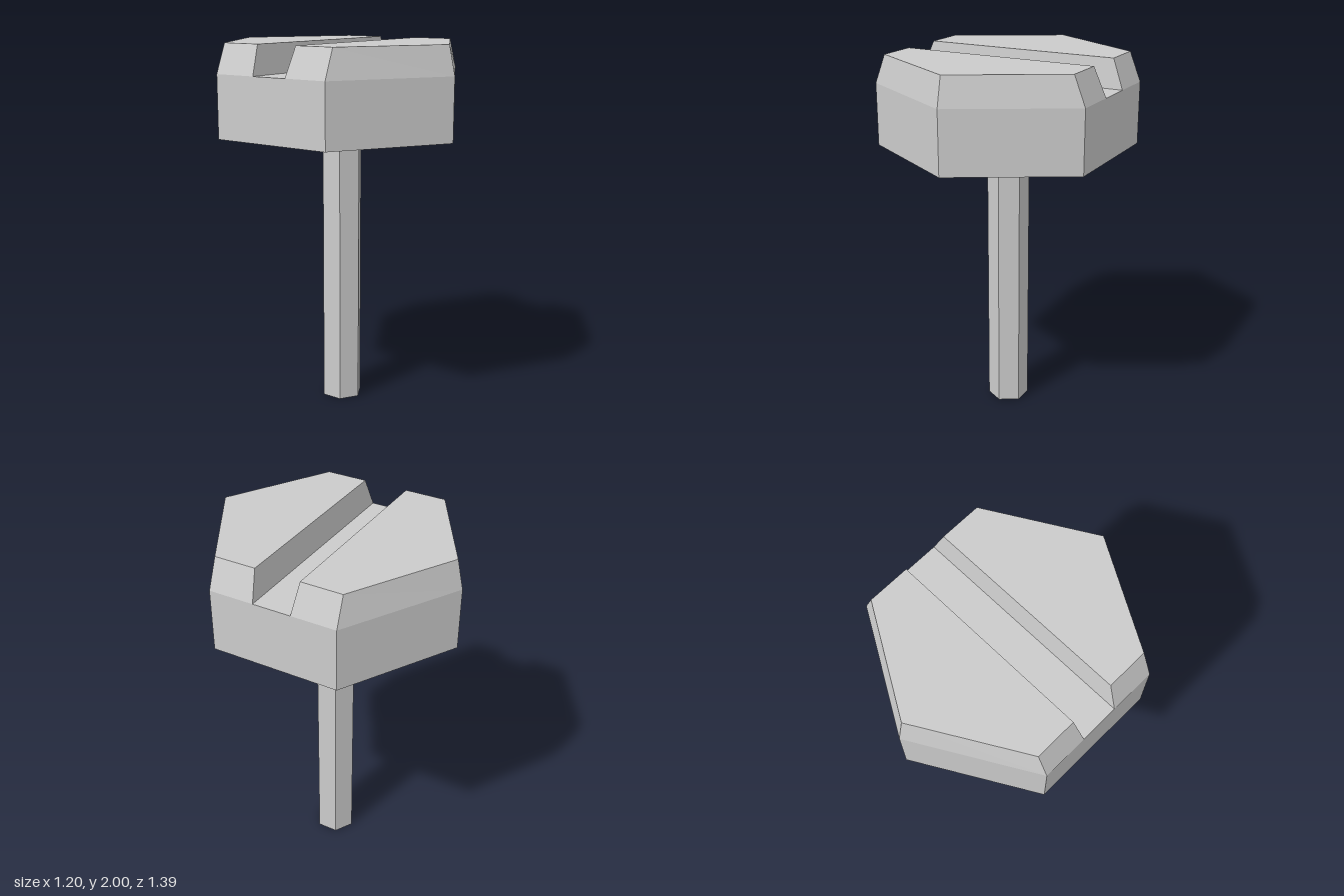
import * as THREE from 'three';

const HEAD_BASE = 1.51, SLOT_Y = 1.845, TOP_Y = 2;
const HEAD_R = 0.695, SHAFT_R = 0.113;

const material = new THREE.MeshStandardMaterial({
  color: 0xcccccc, flatShading: true, side: THREE.DoubleSide,
});

function part(name, geometry, y = 0) {
  const mesh = new THREE.Mesh(geometry, material);
  mesh.name = name;
  mesh.position.y = y;
  return mesh;
}

// Open six-sided tube with corners on the z axis
function hexTube(radius, y0, y1) {
  return new THREE.CylinderGeometry(radius, radius, y1 - y0, 6, 1, true)
    .translate(0, (y0 + y1) / 2, 0);
}

// Walls and top between two matching outlines of [x, z] corners
function taperedBlock(lower, upper, y0, y1) {
  const n = lower.length;
  const points = [
    ...lower.flatMap(([x, z]) => [x, y0, z]),
    ...upper.flatMap(([x, z]) => [x, y1, z]),
  ];
  const index = [];
  for (let i = 0; i < n; i++) {
    const j = (i + 1) % n;
    index.push(i, n + j, j, i, n + i, n + j);
    if (i > 0 && i < n - 1) index.push(n, n + i + 1, n + i);
  }
  const geometry = new THREE.BufferGeometry();
  geometry.setAttribute('position', new THREE.Float32BufferAttribute(points, 3));
  geometry.setIndex(index);
  const flat = geometry.toNonIndexed();
  flat.computeVertexNormals();
  return flat;
}

// Half of the bevelled hexagon, on one side of the slot
function halfOutline(width, slot, side, tip) {
  return [[-width, slot], [width, slot], [width, side], [0, tip], [-width, side]];
}

export function createModel() {
  const group = new THREE.Group();
  group.name = 'slottedHexBolt';

  // Hollow hexagonal shaft, open at the lower end
  group.add(part('shaft', hexTube(SHAFT_R, 0, HEAD_BASE)));

  // Head: side walls, underside and slot floor
  const halfWidth = HEAD_R * Math.sqrt(3) / 2;
  const head = new THREE.Group();
  head.name = 'head';
  head.add(part('headWalls', hexTube(HEAD_R, HEAD_BASE, SLOT_Y)));
  head.add(part('headUnderside',
    new THREE.CircleGeometry(HEAD_R, 6, Math.PI / 2).rotateX(Math.PI / 2), HEAD_BASE));
  head.add(part('slotFloor',
    new THREE.PlaneGeometry(2 * halfWidth, 0.206).rotateX(-Math.PI / 2), SLOT_Y));

  // Bevelled crown halves either side of the slot
  const crown = taperedBlock(
    halfOutline(halfWidth, 0.103, HEAD_R / 2, HEAD_R),
    halfOutline(0.54, 0.122, 0.346, 0.66),
    SLOT_Y, TOP_Y);
  head.add(part('frontCrown', crown));
  head.add(part('backCrown', crown.clone().rotateY(Math.PI)));

  group.add(head);
  return group;
}
